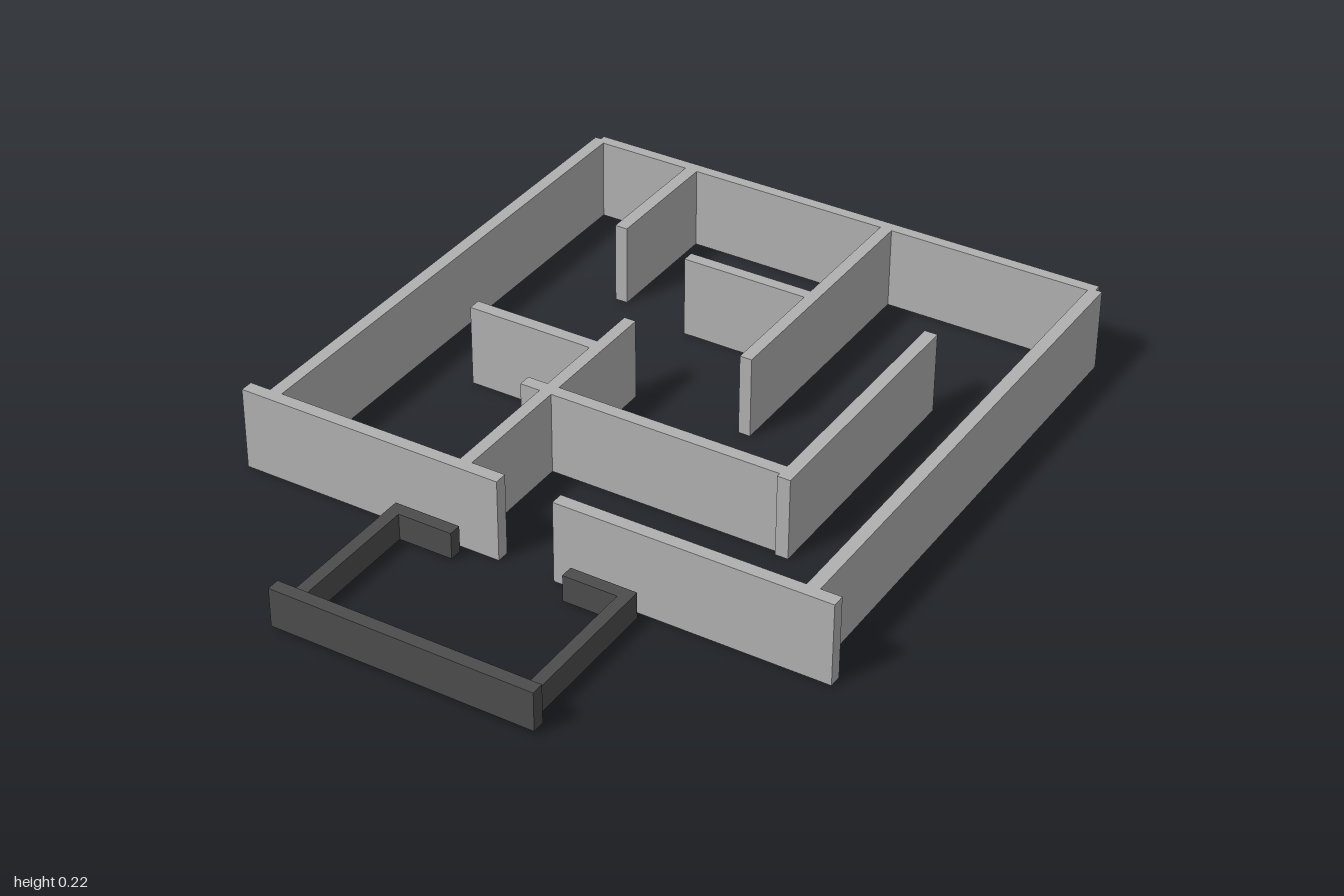
import * as THREE from 'three';

export function createModel() {
  const model = new THREE.Group();
  const wallGrey = new THREE.MeshStandardMaterial({ color: 0xb0b0b0 });
  wallGrey.name = 'wallGrey';
  const darkGrey = new THREE.MeshStandardMaterial({ color: 0x4c4c4c });
  darkGrey.name = 'darkGrey';

  // Box wall given by its plan rectangle and its bottom and top heights
  function wall(parent, name, material, [x0, x1, z0, z1], y0, y1) {
    const mesh = new THREE.Mesh(new THREE.BoxGeometry(x1 - x0, y1 - y0, z1 - z0), material);
    mesh.position.set((x0 + x1) / 2, (y0 + y1) / 2, (z0 + z1) / 2);
    mesh.name = name;
    parent.add(mesh);
  }
  function group(name) {
    const g = new THREE.Group();
    g.name = name;
    model.add(g);
    return g;
  }

  // Outer walls, with a door gap at the front
  const outer = group('outerWalls');
  const outerPlan = {
    backWall: [-0.738, 0.738, -1, -0.968],
    rightWall: [-0.755, -0.72, -0.985, 0.475],
    leftWall: [0.72, 0.755, -0.98, 0.475],
    frontWallRight: [-0.813, -0.078, 0.475, 0.51],
    frontWallLeft: [0.075, 0.81, 0.475, 0.51],
  };
  for (const [name, plan] of Object.entries(outerPlan)) wall(outer, name, wallGrey, plan, 0, 0.225);

  // Room partitions
  const inner = group('partitions');
  const innerPlan = {
    closetPartition: [-0.46, -0.425, -0.968, -0.615],
    backPartition: [0.13, 0.163, -0.968, -0.245],
    backBranch: [-0.22, 0.13, -0.598, -0.565],
    corridorPartition: [0.46, 0.495, -0.585, 0.15],
    crossPartition: [-0.258, 0.46, 0.103, 0.138],
    hallPartition: [-0.203, -0.17, -0.247, 0.475],
    hallBranch: [-0.555, -0.203, -0.12, -0.085],
  };
  for (const [name, plan] of Object.entries(innerPlan)) wall(inner, name, wallGrey, plan, 0, 0.225);

  // Low porch railing with a taller front panel
  const porch = group('porch');
  wall(porch, 'porchFront', darkGrey, [-0.372, 0.342, 0.965, 1], 0.01, 0.117);
  const porchPlan = {
    porchRightSide: [-0.353, -0.32, 0.533, 0.965],
    porchLeftSide: [0.285, 0.317, 0.533, 0.965],
    porchRightReturn: [-0.32, -0.172, 0.533, 0.568],
    porchLeftReturn: [0.137, 0.285, 0.533, 0.568],
  };
  for (const [name, plan] of Object.entries(porchPlan)) wall(porch, name, darkGrey, plan, 0.005, 0.078);

  return model;
}
